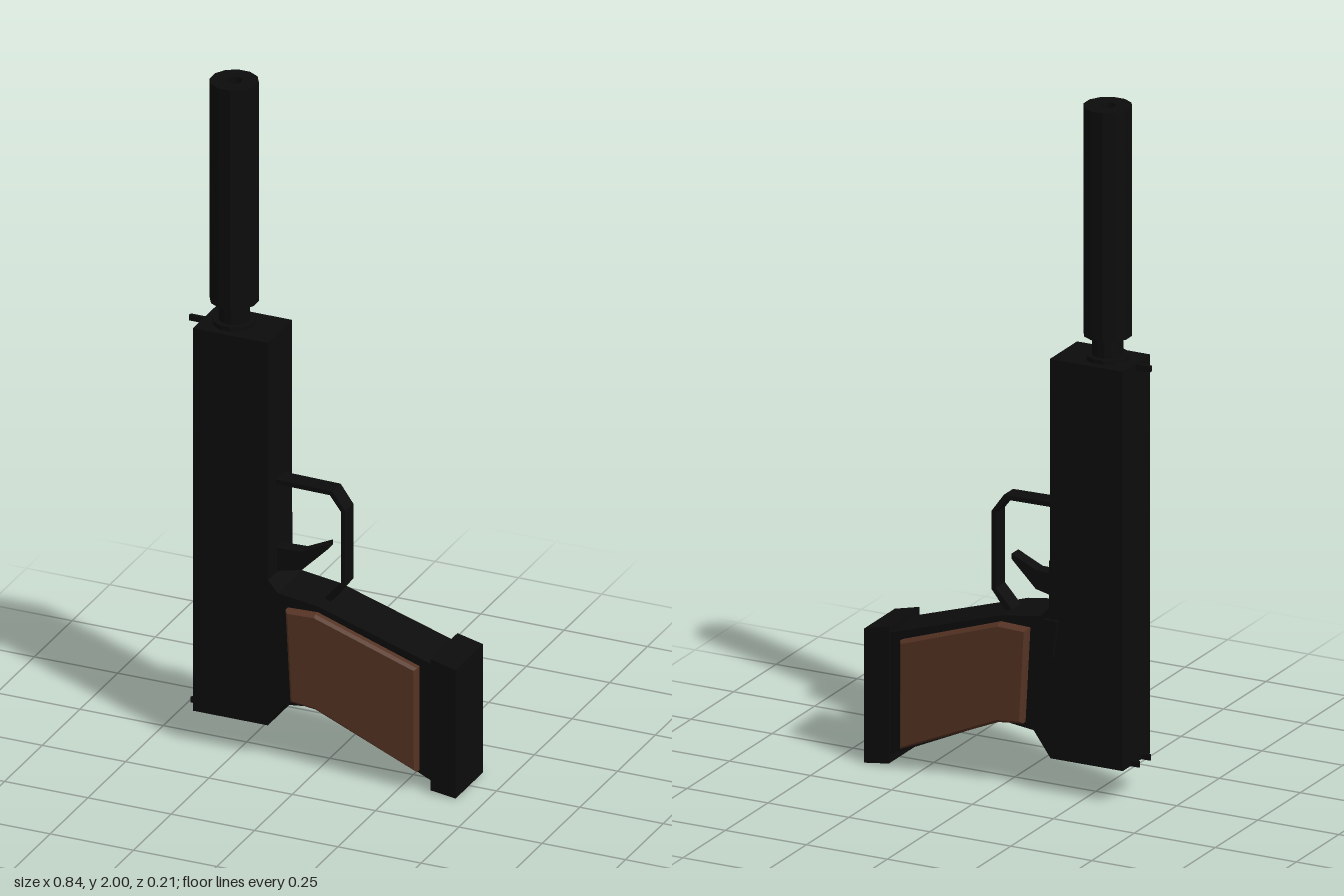
import * as THREE from 'three';

export function createModel() {
  const model = new THREE.Group();
  const black = new THREE.MeshStandardMaterial({ color: 0x0c0c0c, flatShading: true });
  black.name = 'gunmetal black';
  const brown = new THREE.MeshStandardMaterial({ color: 0x573424, flatShading: true });
  brown.name = 'walnut brown';

  const add = (name, geometry, material = black) => {
    const mesh = new THREE.Mesh(geometry, material);
    mesh.name = name;
    model.add(mesh);
    return mesh;
  };
  // Box given by its lower and upper corners
  const box = (name, x0, x1, y0, y1, z0, z1) =>
    add(name, new THREE.BoxGeometry(x1 - x0, y1 - y0, z1 - z0))
      .position.set((x0 + x1) / 2, (y0 + y1) / 2, (z0 + z1) / 2);
  // Side outline extruded between two z planes, optionally with chamfered edges
  const plate = (name, points, z0, z1, material = black, bevel = 0) => {
    const shape = new THREE.Shape(points.map(([x, y]) => new THREE.Vector2(x, y)));
    const geometry = new THREE.ExtrudeGeometry(shape, {
      depth: z1 - z0 - 2 * bevel, bevelEnabled: bevel > 0, bevelSegments: 1,
      bevelSize: bevel, bevelThickness: bevel, bevelOffset: -bevel,
    });
    geometry.translate(0, 0, z0 + bevel);
    return add(name, geometry, material);
  };

  // Slide and frame
  box('slide', -0.375, -0.15, 0.105, 1.265, -0.08, 0.08);

  // Sights
  box('frontSight', -0.42, -0.37, 1.247, 1.264, -0.005, 0.005);
  for (const z of [-0.032, 0.032]) box('rearSight', -0.402, -0.37, 0.105, 0.122, z - 0.003, z + 0.003);

  // Barrel neck and muzzle tube with a recessed bore
  const lathe = (name, points) => {
    const g = new THREE.LatheGeometry(points.map(([r, y]) => new THREE.Vector2(r, y)), 12);
    g.rotateY(Math.PI / 12);
    add(name, g).position.x = -0.287;
  };
  lathe('barrelNeck', [[0, 1.26], [0.06, 1.26], [0.06, 1.278], [0.044, 1.278], [0.044, 1.345]]);
  lathe('muzzleTube', [[0, 1.335], [0.068, 1.335], [0.068, 2], [0.022, 2], [0.022, 1.95], [0, 1.95]]);

  // Grip frame and magazine base
  plate('gripFrame', [[-0.16, 0.55], [-0.15, 0.545], [-0.12, 0.512], [0, 0.495], [0.35, 0.385],
    [0.35, 0.03], [0, 0.19], [-0.1, 0.178], [-0.152, 0.105], [-0.16, 0.105]], -0.08, 0.08);
  plate('magazineBase', [[0.342, 0.408], [0.418, 0.39], [0.418, 0], [0.342, 0.01]], -0.09, 0.09);

  // Grip panels, mirrored on both sides
  const panel = [[-0.09, 0.475], [0, 0.478], [0.305, 0.375], [0.305, 0.06], [0, 0.19], [-0.075, 0.198]];
  plate('leftGripPanel', panel, 0.07, 0.104, brown, 0.008);
  plate('rightGripPanel', panel, -0.104, -0.07, brown, 0.008);

  // Trigger and its guard
  plate('trigger', [[-0.16, 0.617], [-0.075, 0.62], [0, 0.655], [0, 0.64], [-0.075, 0.565], [-0.16, 0.545]], -0.02, 0.02);
  plate('triggerGuard', [[-0.155, 0.828], [0.02, 0.825], [0.058, 0.772], [0.058, 0.545], [0.015, 0.49],
    [-0.005, 0.495], [0.045, 0.55], [0.045, 0.768], [0.012, 0.812], [-0.155, 0.814]], -0.027, 0.027);

  // Small controls on the right side
  plate('slideCatch', [[-0.178, 0.51], [-0.136, 0.51], [-0.136, 0.4], [-0.165, 0.4]], -0.094, -0.078);
  box('catchBar', -0.165, -0.15, 0.4, 0.68, -0.084, -0.078);

  return model;
}
